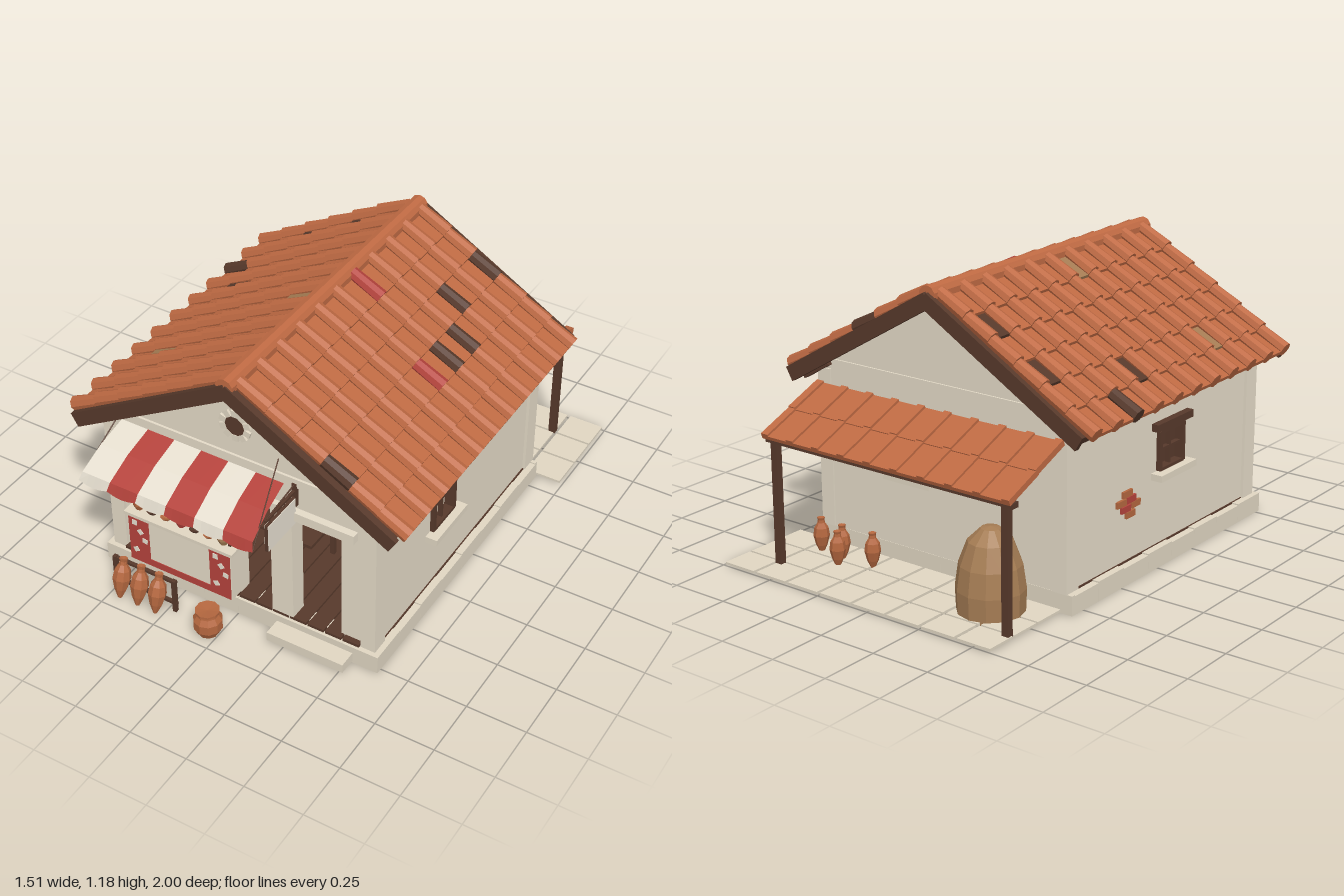
import * as THREE from 'three';

const mat = (name, color) => {
  const m = new THREE.MeshStandardMaterial({ color, flatShading: true, side: THREE.DoubleSide });
  m.name = name;
  return m;
};

export function createModel() {
  const plaster = mat('plaster', 0xe4dac7), stone = mat('stone', 0xe0d6c2), tile = mat('roofTile', 0xbf6a43),
    wood = mat('darkWood', 0x57392b), red = mat('red', 0xb5433c), tan = mat('tan', 0xa67d54),
    cloth = mat('clothWhite', 0xe6dfd0), clay = mat('clay', 0xb4673f);
  const root = new THREE.Group();
  root.name = 'potteryShop';

  const add = (parent, name, geo, m, x = 0, y = 0, z = 0) => {
    const mesh = new THREE.Mesh(geo, m);
    mesh.name = name;
    mesh.position.set(x, y, z);
    parent.add(mesh);
    return mesh;
  };
  const group = (name, parent = root) => {
    const g = new THREE.Group();
    g.name = name;
    parent.add(g);
    return g;
  };
  // box given by its limits on each axis
  const box = (p, name, m, x0, x1, y0, y1, z0, z1) =>
    add(p, name, new THREE.BoxGeometry(x1 - x0, y1 - y0, z1 - z0), m, (x0 + x1) / 2, (y0 + y1) / 2, (z0 + z1) / 2);
  const rod = (p, name, m, a, b, r) => {
    const A = new THREE.Vector3(...a), d = new THREE.Vector3(...b).sub(A);
    const o = add(p, name, new THREE.CylinderGeometry(r, r, d.length(), 6), m);
    o.position.copy(A).addScaledVector(d, 0.5);
    o.quaternion.setFromUnitVectors(new THREE.Vector3(0, 1, 0), d.normalize());
  };
  // flat wall with rectangular holes [x0, x1, y0, y1]
  const wall = (name, pts, holes, depth) => {
    const s = new THREE.Shape(pts.map(p => new THREE.Vector2(...p)));
    for (const [a, b, c, d] of holes)
      s.holes.push(new THREE.Path([[a, c], [a, d], [b, d], [b, c]].map(p => new THREE.Vector2(...p))));
    return add(root, name, new THREE.ExtrudeGeometry(s, { depth, bevelEnabled: false }), plaster);
  };
  const profiles = {
    jar: [[0, 0], [0.6, 0], [1, 0.35], [0.98, 0.62], [0.5, 0.8], [0.48, 0.88], [0.65, 1], [0.45, 0.97], [0, 0.85]],
    amphora: [[0, 0], [0.22, 0], [0.7, 0.24], [1, 0.5], [0.85, 0.72], [0.45, 0.86], [0.4, 0.94], [0.48, 1], [0, 0.97]],
    barrelJar: [[0, 0], [0.7, 0], [1, 0.28], [1, 0.62], [0.76, 0.82], [0.74, 0.88], [0.84, 0.92], [0.84, 1], [0, 0.95]],
    bowl: [[0, 0], [0.45, 0], [1, 1], [0.85, 0.9], [0, 0.25]],
    kiln: [[0, 0], [0.97, 0], [1, 0.3], [0.9, 0.58], [0.65, 0.84], [0.28, 0.98], [0, 1]],
  };
  const pot = (p, kind, m, r, h, x, y, z, handles = false, seg = 8) => {
    const g = add(p, kind, new THREE.LatheGeometry(profiles[kind].map(([a, b]) => new THREE.Vector2(a * r, b * h)), seg), m, x, y, z);
    if (handles) for (const s of [-1, 1]) {
      const t = add(g, 'handle', new THREE.TorusGeometry(h * 0.13, h * 0.03, 4, 6), m, s * r * 0.66, h * 0.78, 0);
      t.scale.x = 0.7;
    }
    return g;
  };

  // walls: gabled front and back, side walls with windows
  const gable = [[-0.6, 0.07], [0.6, 0.07], [0.6, 0.74], [0, 1.11], [-0.6, 0.74]];
  wall('frontWall', gable, [[0, 0.16, 0.09, 0.66], [0.25, 0.45, 0.09, 0.6]], 0.05).position.z = 0.69;
  wall('backWall', gable, [[0.06, 0.2, 0.39, 0.55]], 0.05).position.z = -0.57;
  for (const s of [1, -1]) {
    const c = s > 0 ? -0.23 : -0.12;
    const w = wall('sideWall', [[-0.69, 0.07], [0.53, 0.07], [0.53, 0.74], [-0.69, 0.74]],
      [[c - 0.08, c + 0.08, s > 0 ? 0.36 : 0.39, s > 0 ? 0.57 : 0.55]], 0.05);
    w.rotation.y = Math.PI / 2;
    w.position.x = s > 0 ? 0.545 : -0.595;
    for (const z of [-0.54, 0.715])
      box(root, 'cornerPilaster', plaster, s * 0.575 - 0.032, s * 0.575 + 0.032, 0.08, 0.74, z - 0.037, z + 0.04);
  }
  box(root, 'gableBand', plaster, -0.52, 0.52, 0.745, 0.785, 0.74, 0.75);
  box(root, 'backGableBand', plaster, -0.52, 0.52, 0.745, 0.785, -0.577, -0.57);
  box(root, 'doorPillar', plaster, 0.155, 0.25, 0.08, 0.64, 0.69, 0.765);
  box(root, 'doorLintel', plaster, 0.24, 0.52, 0.6, 0.64, 0.74, 0.77);

  // windows, built facing +z and turned to their wall
  const windowAt = (x, y, z, turn, w, h, top) => {
    const g = group('window');
    g.position.set(x, y, z);
    g.rotation.y = turn;
    for (const s of [-1, 1]) {
      box(g, 'frameSide', wood, s * w / 2 - 0.01, s * w / 2 + 0.01, -h / 2, h / 2, -0.03, 0.012);
      box(g, 'frameRail', wood, -w / 2, w / 2, s * h / 2 - 0.01, s * h / 2 + 0.01, -0.03, 0.012);
    }
    box(g, 'mullion', wood, -0.005, 0.005, -h / 2, h / 2, -0.02, 0);
    box(g, 'crossBar', wood, -w / 2, w / 2, -0.005, 0.005, -0.02, 0);
    box(g, 'lintel', top, -w / 2 - 0.045, w / 2 + 0.045, h / 2 + 0.01, h / 2 + 0.04, -0.01, 0.025);
    box(g, 'sill', stone, -w / 2 - 0.045, w / 2 + 0.045, -h / 2 - 0.03, -h / 2 - 0.003, -0.01, 0.045);
    return g;
  };
  windowAt(0.6, 0.463, 0.23, Math.PI / 2, 0.16, 0.21, plaster);
  const shuttered = windowAt(-0.6, 0.47, 0.12, -Math.PI / 2, 0.16, 0.16, wood);
  box(shuttered, 'shutterOuter', wood, -0.08, 0.08, -0.08, 0.08, -0.03, -0.025);
  box(shuttered, 'shutterInner', plaster, -0.08, 0.08, -0.08, 0.08, -0.05, -0.045);
  windowAt(0.13, 0.47, -0.57, Math.PI, 0.14, 0.16, wood);

  // round gable vent with a ring of stones
  const vent = group('gableVent');
  vent.position.set(0, 0.925, 0.742);
  add(vent, 'ventHole', new THREE.CylinderGeometry(0.044, 0.044, 0.012, 16), wood).rotation.x = Math.PI / 2;
  for (let i = 0; i < 10; i++) {
    const a = i * Math.PI / 5;
    add(vent, 'ventStone', new THREE.BoxGeometry(0.026, 0.028, 0.016), stone, Math.sin(a) * 0.055, Math.cos(a) * 0.055, 0).rotation.z = -a;
  }

  // exposed bricks on the side wall
  [[0, 0], [0.065, 0.005], [-0.03, 0.03], [0.035, 0.032], [0.01, 0.06], [0.03, -0.028]].forEach(([z, y], i) =>
    box(root, 'exposedBrick', i % 3 ? clay : red, -0.606, -0.59, 0.285 + y, 0.311 + y, -0.215 + z, -0.155 + z));

  // plinth ring, floor, step and paving
  for (let i = 0; i < 8; i++) {
    const x = -0.63 + i * 0.1575, z = -0.567 + i * 0.1675;
    for (const s of [-1, 1]) {
      box(root, 'plinthBlock', stone, x, x + 0.1565, 0, 0.08, s > 0 ? 0.74 : -0.572, s > 0 ? 0.775 : -0.555);
      box(root, 'plinthBlock', stone, s * 0.61 - 0.02, s * 0.61 + 0.02, 0, i % 2 ? 0.08 : 0.075, z, z + 0.1665);
    }
    for (let j = 0; j < 3; j++)
      box(root, 'pavingSlab', stone, -0.58 + i * 0.1665, -0.428 + i * 0.1665, 0.006, 0.016, [-1, -0.857, -0.714][j], [-0.867, -0.724, -0.575][j]);
  }
  box(root, 'floorBase', wood, -0.6, 0.6, 0.06, 0.082, -0.56, 0.75);
  for (let i = 0; i < 14; i++)
    box(root, 'floorBoard', wood, -0.545 + i * 0.078, -0.473 + i * 0.078, 0.082, 0.094, -0.52, 0.765);
  box(root, 'doorStep', stone, 0.18, 0.52, 0.01, 0.05, 0.77, 0.85);

  // main roof: six courses of flat and barrel tiles on each slope
  const slope = 0.53, step = 0.135;
  const odd = {
    'c1,0,2': wood, 'c1,2,2': wood, 'c1,3,3': wood, 'c1,4,0': red, 'c1,4,3': wood, 'c1,5,3': red, 'c1,10,3': wood,
    'c-1,2,5': wood, 'p-1,0,3': wood, 'p-1,0,1': wood, 'p-1,3,4': wood, 'p-1,5,0': tan, 'p-1,7,4': tan,
  };
  const panGeo = new THREE.BoxGeometry(0.15, 0.016, 0.112);
  const coverGeo = new THREE.CylinderGeometry(0.031, 0.027, 0.15, 8);
  for (const s of [1, -1]) {
    const g = group('roofSlope');
    g.position.y = 1.14;
    g.rotation.z = -s * slope;
    add(g, 'roofDeck', new THREE.BoxGeometry(0.8, 0.02, 1.4), wood, s * 0.4, -0.015, 0.09);
    for (const z of [0.8, -0.63])
      add(g, 'bargeBoard', new THREE.BoxGeometry(0.825, 0.062, 0.022), wood, s * 0.4125, -0.019, z);
    add(g, 'eaveBoard', new THREE.BoxGeometry(0.02, 0.034, 1.44), wood, s * 0.805, -0.022, 0.085);
    for (let k = 0; k < 11; k++) {
      const z = -0.58 + k * 0.133;
      add(g, 'rafterTail', new THREE.BoxGeometry(0.15, 0.034, 0.025), wood, s * 0.73, -0.04, z);
      for (let i = 0; i < 6; i++) {
        const x = s * (0.093 + i * step);
        add(g, 'barrelTile', coverGeo, odd[`c${s},${k},${i}`] || tile, x, 0.019, z).rotation.z = -s * (Math.PI / 2 - 0.05);
        if (k < 10) add(g, 'flatTile', panGeo, odd[`p${s},${k},${i}`] || tile, x, 0.004, z + 0.0665).rotation.z = s * 0.1;
      }
    }
  }
  add(root, 'ridgeTile', new THREE.CylinderGeometry(0.038, 0.038, 1.43, 10), tile, 0, 1.138, 0.09).rotation.x = Math.PI / 2;

  // back porch: tilted tile roof on posts
  const porch = group('porchRoof');
  porch.position.set(0, 0.677, -0.585);
  porch.rotation.x = -0.385;
  box(porch, 'porchDeck', wood, -0.59, 0.59, -0.018, -0.01, -0.33, 0);
  for (let i = 0; i < 10; i++) for (let j = 0; j < 2; j++) {
    const x = -0.6 + i * 0.1295, z = -j * 0.17, w = i === 9 ? 0.035 : 0.13;
    box(porch, 'porchTile', tile, x, x + w, -0.01 - j * 0.004, 0.006 - j * 0.004, z - 0.18, z);
    box(porch, 'porchBatten', tile, x, x + 0.034, 0, 0.016 - j * 0.005, z - 0.18, z);
  }
  for (let i = 0; i < 6; i++)
    box(porch, 'porchRafter', wood, -0.57 + i * 0.223, -0.55 + i * 0.223, -0.032, -0.018, -0.31, 0);
  box(root, 'porchBeam', wood, -0.6, 0.6, 0.515, 0.537, -0.89, -0.857);
  for (const s of [-1, 1]) box(root, 'porchPost', wood, s * 0.56 - 0.015, s * 0.56 + 0.015, 0.01, 0.52, -0.888, -0.86);
  pot(root, 'kiln', tan, 0.135, 0.345, -0.37, 0.003, -0.725, false, 12);
  [[0.52, -0.68], [0.4, -0.69], [0.37, -0.75], [0.25, -0.68]].forEach(([x, z]) =>
    pot(root, 'amphora', clay, 0.033, 0.15, x, 0.005, z));

  // stall counter with red cloth and pale flower patches
  box(root, 'counter', plaster, -0.48, 0, 0.1, 0.33, 0.73, 0.81);
  box(root, 'counterTop', stone, -0.495, 0.01, 0.33, 0.345, 0.73, 0.82);
  for (const x of [-0.48, -0.1]) {
    box(root, 'clothPanel', red, x, x + 0.095, 0.1, 0.325, 0.81, 0.813);
    [[0.03, 0.3], [0.055, 0.26], [0.075, 0.22], [0.03, 0.16]].forEach(([u, y], i) =>
      add(root, 'flowerPatch', new THREE.BoxGeometry(0.022, 0.024, 0.003), cloth, x + u, y, 0.814).rotation.z = i * 0.7);
  }
  box(root, 'clothHem', red, -0.385, -0.1, 0.1, 0.132, 0.81, 0.813);

  // display shelves and their pots
  for (const y of [0.38, 0.505]) box(root, 'shelf', wood, -0.47, -0.02, y, y + 0.012, 0.74, 0.785);
  for (const x of [-0.465, -0.025]) box(root, 'shelfPost', wood, x - 0.006, x + 0.006, 0.345, 0.53, 0.745, 0.78);
  [-0.4, -0.345, -0.28, -0.215, -0.16, -0.1, -0.04].forEach((x, i) =>
    pot(root, 'jar', [clay, clay, clay, clay, tan, clay, red][i], 0.019, 0.056, x, 0.515, 0.76, true));
  [[-0.345, clay], [-0.215, red], [-0.1, clay]].forEach(([x, m]) => pot(root, 'jar', m, 0.019, 0.055, x, 0.39, 0.76, true));
  [[-0.45, clay], [-0.25, red], [-0.055, tan]].forEach(([x, m]) => pot(root, 'jar', m, 0.025, 0.07, x, 0.345, 0.775, true));
  [[-0.28, 0.392], [-0.15, 0.392], [-0.385, 0.345], [-0.32, 0.345], [-0.185, 0.345], [-0.12, 0.345]].forEach(([x, y], i) =>
    pot(root, 'bowl', i % 2 ? clay : wood, 0.026, 0.016, x, y, 0.775));
  pot(root, 'jar', tan, 0.02, 0.058, 0.08, 0.525, 0.765, true).name = 'hangingJar';
  rod(root, 'hangingCord', wood, [0.08, 0.57, 0.765], [0.08, 0.735, 0.765], 0.002);

  // striped awning with scalloped hem
  const sect = [[0.75, 0.745], [0.875, 0.705], [0.985, 0.645], [1, 0.61]];
  for (let i = 0; i < 6; i++) {
    const geo = new THREE.PlaneGeometry(1, 1, 4, 3), p = geo.attributes.position;
    for (let v = 0; v < p.count; v++) {
      const row = Math.floor(v / 5), u = (i + (v % 5) / 4) / 6;
      const left = -0.52 - row * 0.01, right = 0.21 + row * 0.007;
      const dip = row === 3 ? 0.014 * Math.sin((v % 5) / 4 * Math.PI) : 0;
      p.setXYZ(v, left + (right - left) * u, sect[row][1] - dip, sect[row][0]);
    }
    geo.computeVertexNormals();
    add(root, 'awningStripe', geo, i % 2 ? red : cloth);
  }
  rod(root, 'awningBar', wood, [-0.545, 0.635, 0.975], [0.225, 0.635, 0.975], 0.004);
  rod(root, 'awningStay', wood, [0.19, 0.855, 0.75], [0.228, 0.61, 0.995], 0.0025);
  rod(root, 'awningStay', wood, [-0.52, 0.785, 0.75], [-0.548, 0.61, 0.995], 0.0025);
  for (const x of [-0.535, 0.22]) box(root, 'awningBracket', wood, x - 0.006, x + 0.006, 0.56, 0.62, 0.75, 0.765);

  // blank hanging sign on a bracket
  box(root, 'signBoard', wood, 0.25, 0.262, 0.582, 0.705, 0.755, 0.945);
  for (const x of [0.247, 0.262]) box(root, 'signFace', cloth, x, x + 0.003, 0.585, 0.702, 0.758, 0.942);
  box(root, 'signBracket', wood, 0.25, 0.262, 0.725, 0.735, 0.74, 0.95);
  box(root, 'signMount', wood, 0.246, 0.266, 0.66, 0.765, 0.74, 0.755);
  rod(root, 'signBrace', wood, [0.256, 0.76, 0.75], [0.256, 0.735, 0.94], 0.003);
  for (const z of [0.82, 0.92]) rod(root, 'signHanger', wood, [0.256, 0.7, z], [0.256, 0.73, z], 0.003);

  // amphora rack and large jar in front
  for (const y of [0.035, 0.145]) box(root, 'rackRail', wood, -0.51, -0.21, y, y + 0.012, 0.88, 0.895);
  for (const x of [-0.5, -0.22]) box(root, 'rackPost', wood, x - 0.008, x + 0.008, 0, 0.16, 0.88, 0.898);
  for (const x of [-0.445, -0.36, -0.275]) pot(root, 'amphora', clay, 0.038, 0.178, x, 0.012, 0.95).rotation.x = -0.25;
  pot(root, 'barrelJar', clay, 0.059, 0.118, -0.04, 0.008, 0.925, false, 10);

  // goods inside
  box(root, 'innerTable', wood, -0.15, 0.2, 0.255, 0.27, 0.35, 0.55);
  for (const x of [-0.14, 0.19]) box(root, 'innerTableLeg', wood, x - 0.01, x + 0.01, 0.09, 0.255, 0.36, 0.38);
  pot(root, 'bowl', clay, 0.04, 0.022, 0.03, 0.27, 0.48);
  pot(root, 'amphora', tan, 0.036, 0.165, 0.38, 0.1, 0.5);
  pot(root, 'amphora', tan, 0.036, 0.175, 0.45, 0.1, 0.46);
  box(root, 'innerShelf', wood, 0.45, 0.55, 0.43, 0.442, 0.14, 0.24);
  pot(root, 'jar', tan, 0.018, 0.05, 0.51, 0.442, 0.19);
  return root;
}
